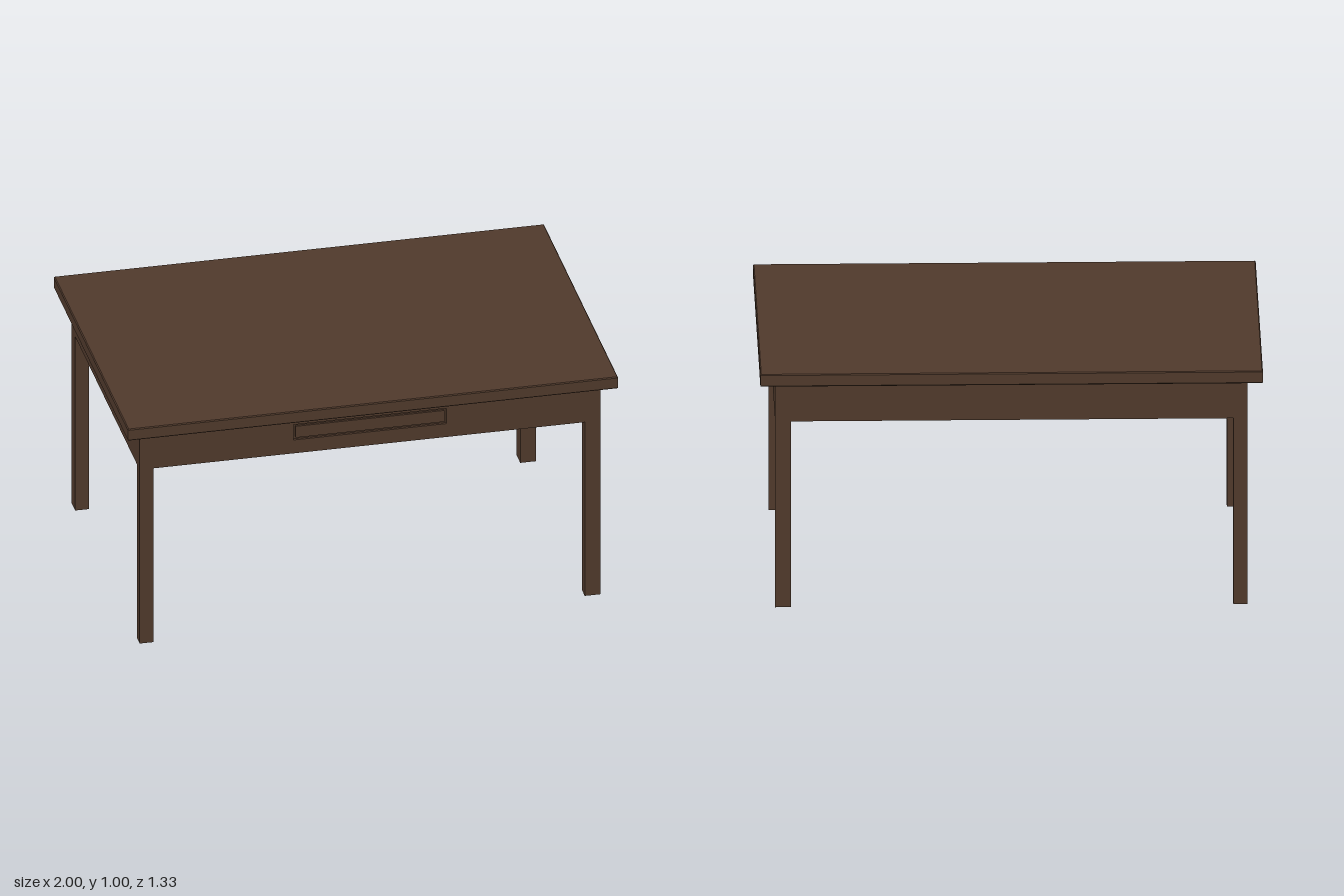
import * as THREE from 'three';

const wood = new THREE.MeshStandardMaterial({ color: 0x503a2c });
wood.name = 'darkWood';

const APRON_BOTTOM = 0.783, TOP_BOTTOM = 0.948;
const X = 0.94, Z = 0.61; // outer faces of the legs and apron

function addMesh(group, name, geometry) {
  const mesh = new THREE.Mesh(geometry, wood);
  mesh.name = name;
  group.add(mesh);
}

// Box given by its min and max corners
function box([x0, y0, z0], [x1, y1, z1]) {
  return new THREE.BoxGeometry(x1 - x0, y1 - y0, z1 - z0)
    .translate((x0 + x1) / 2, (y0 + y1) / 2, (z0 + z1) / 2);
}

function rectangle(path, x0, y0, x1, y1) {
  path.moveTo(x0, y0);
  path.lineTo(x1, y0);
  path.lineTo(x1, y1);
  path.lineTo(x0, y1);
  path.closePath();
  return path;
}

export function createModel() {
  const table = new THREE.Group();
  table.name = 'table';

  // Table top with a fine chamfer round its edges
  const b = 0.004;
  const top = new THREE.ExtrudeGeometry(
    rectangle(new THREE.Shape(), -1 + b, -0.665 + b, 1 - b, 0.665 - b),
    { depth: 1 - TOP_BOTTOM - 2 * b, bevelEnabled: true, bevelSize: b, bevelThickness: b, bevelSegments: 1 });
  top.rotateX(-Math.PI / 2).translate(0, TOP_BOTTOM + b, 0);
  addMesh(table, 'tableTop', top);

  // Solid apron body
  const groove = 0.01;
  addMesh(table, 'apron', box([-X, APRON_BOTTOM, -Z], [X, TOP_BOTTOM, Z - groove]));

  // Apron front, cut out around the drawer
  const front = rectangle(new THREE.Shape(), -X, APRON_BOTTOM, X, TOP_BOTTOM);
  front.holes.push(rectangle(new THREE.Path(), -0.312, 0.843, 0.312, 0.912));
  const frontGeometry = new THREE.ExtrudeGeometry(front, { depth: groove, bevelEnabled: false });
  addMesh(table, 'apronFront', frontGeometry.translate(0, 0, Z - groove));

  // Drawer front, set in the cutout with a narrow gap all round
  addMesh(table, 'drawerFront', box([-0.303, 0.852, Z - groove], [0.303, 0.903, Z - 0.001]));

  // Legs, flush with the apron and slightly thicker at the back and left
  for (const [side, x0, x1] of [['Right', -X, -0.883], ['Left', 0.876, X]]) {
    for (const [end, z0, z1] of [['front', 0.56, Z], ['back', -Z, -0.545]]) {
      addMesh(table, `${end}${side}Leg`, box([x0, 0, z0], [x1, APRON_BOTTOM, z1]));
    }
  }

  return table;
}
